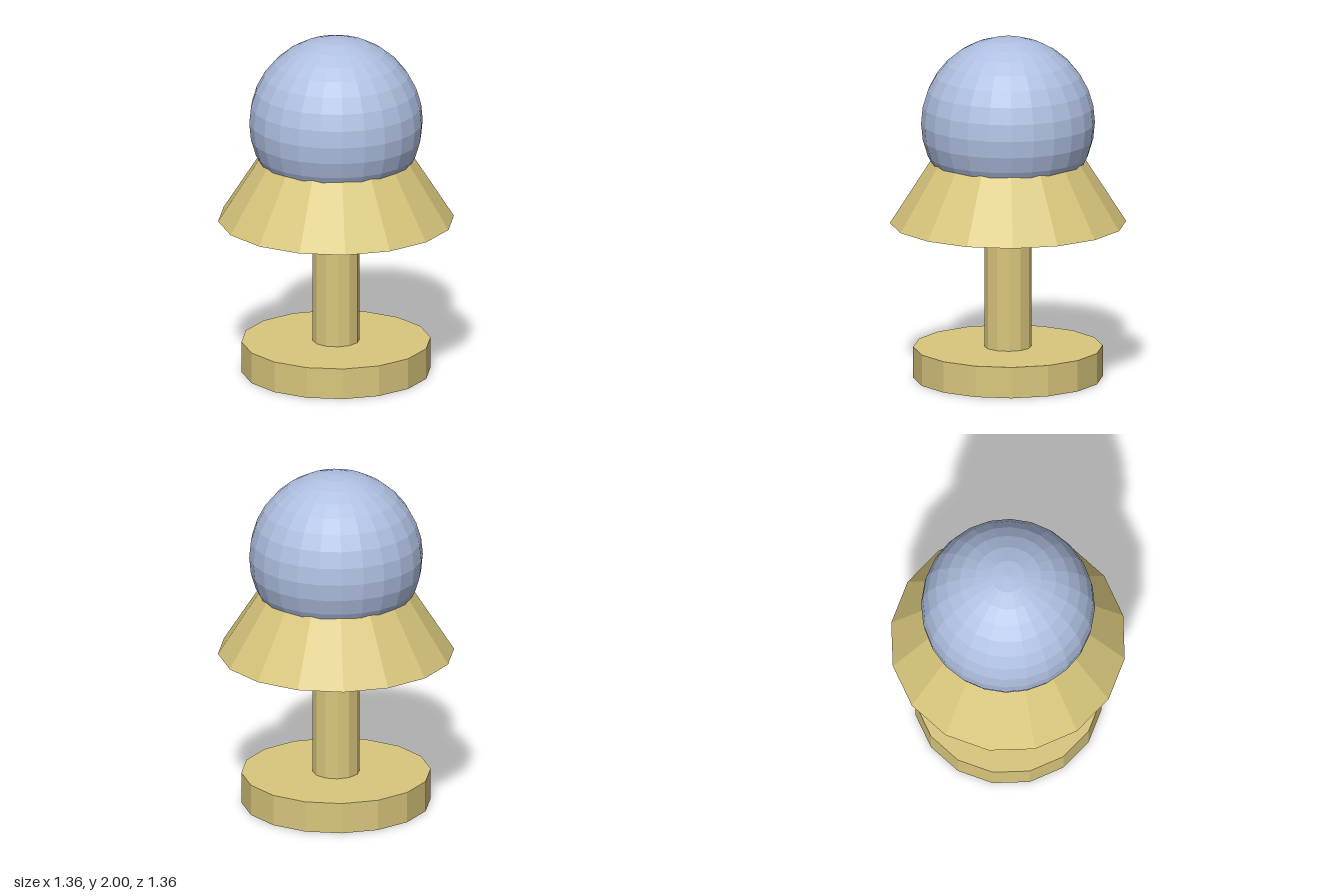
import * as THREE from 'three';

export function createModel() {
  const model = new THREE.Group();
  const brass = new THREE.MeshStandardMaterial({ color: 0xd9c77d, flatShading: true });
  brass.name = 'brass';
  const blue = new THREE.MeshStandardMaterial({ color: 0xb0c0e2, flatShading: true });
  blue.name = 'paleBlue';

  const add = (name, geometry, material, y) => {
    const mesh = new THREE.Mesh(geometry, material);
    mesh.name = name;
    mesh.position.y = y;
    model.add(mesh);
  };
  // Faceted round part standing between two heights
  const turned = (name, topRadius, bottomRadius, y0, y1, sides) =>
    add(name, new THREE.CylinderGeometry(topRadius, bottomRadius, y1 - y0, sides), brass, (y0 + y1) / 2);

  turned('base', 0.545, 0.545, 0, 0.182, 16);
  turned('stem', 0.136, 0.136, 0.17, 0.93, 12);
  // The collar's top is hidden inside the globe
  turned('flaredCollar', 0.41, 0.68, 0.914, 1.335, 16);
  add('globe', new THREE.SphereGeometry(0.5, 24, 16), blue, 1.5);

  return model;
}
